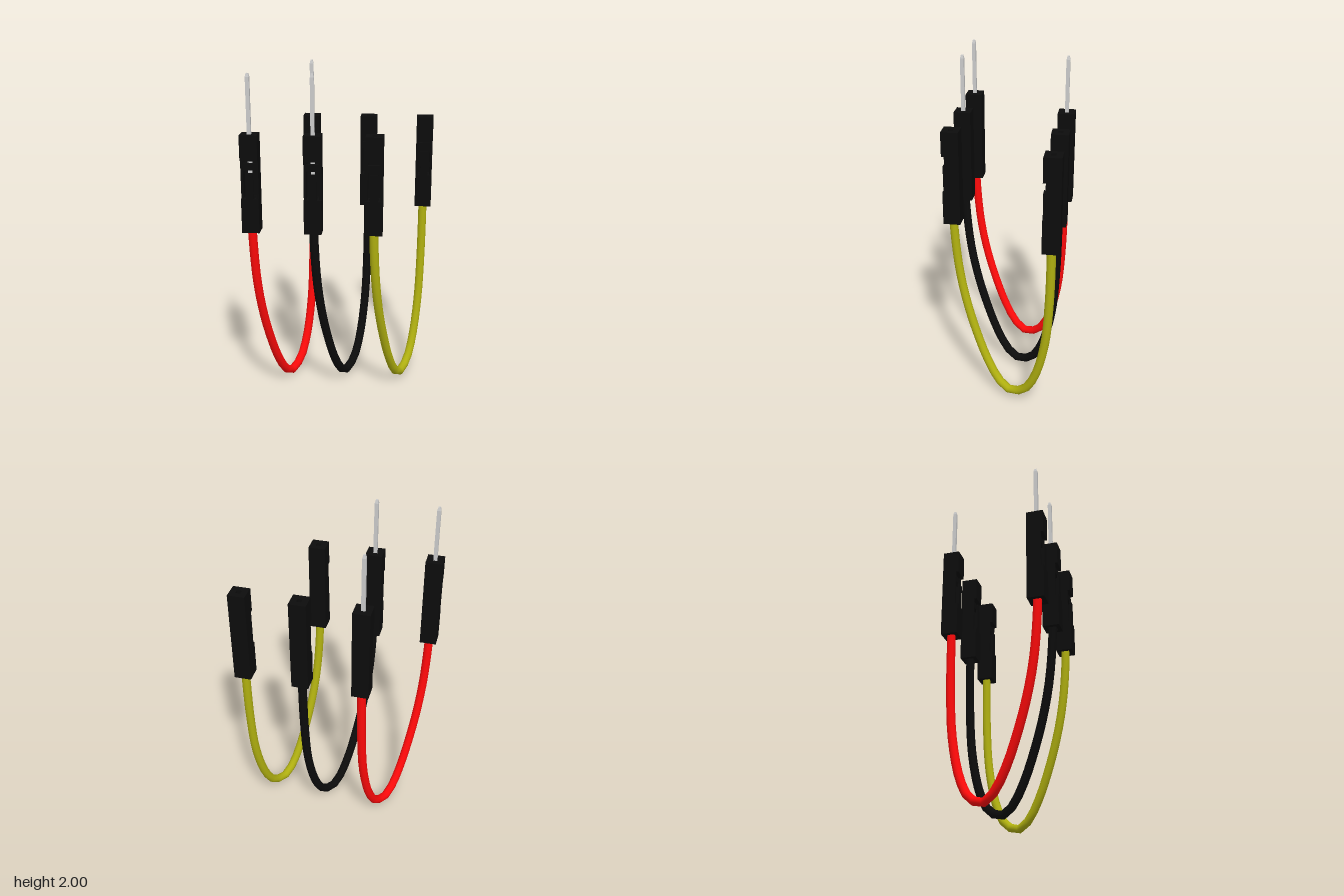
import * as THREE from 'three';

const mat = (color) => new THREE.MeshStandardMaterial({ color });
const black = mat(0x0c0c0c);
const metal = mat(0xcccccc);

const Y0 = 1.1, SLOT0 = 1.3, FLAP_TOP = 1.45, SLOT1 = 1.52, Y1 = 1.665, H = 0.05;

function add(parent, name, geometry, material) {
  const mesh = new THREE.Mesh(geometry, material);
  mesh.name = name;
  parent.add(mesh);
  return mesh;
}

function box(parent, name, x0, x1, y0, y1, z0, z1, material = black) {
  const g = new THREE.BoxGeometry(x1 - x0, y1 - y0, z1 - z0);
  g.translate((x0 + x1) / 2, (y0 + y1) / 2, (z0 + z1) / 2);
  return add(parent, name, g, material);
}

// Square block with a square hole running up through it
function sleeve(parent, name, y0, y1, hole) {
  const square = (C, r) => new C().setFromPoints(
    [[-r, -r], [r, -r], [r, r], [-r, r], [-r, -r]].map(([x, y]) => new THREE.Vector2(x, y)));
  const shape = square(THREE.Shape, H);
  shape.holes.push(square(THREE.Path, hole));
  const g = new THREE.ExtrudeGeometry(shape, { depth: y1 - y0, bevelEnabled: false });
  g.rotateX(-Math.PI / 2).translate(0, y0, 0);
  return add(parent, name, g, black);
}

function connector(name, x, z, hasPin) {
  const group = new THREE.Group();
  group.name = name;
  sleeve(group, 'housingBase', Y0, SLOT0, 0.026);
  sleeve(group, 'housingTop', SLOT1, Y1, 0.014);

  // Slotted middle: back and side walls, with open corners beside the latch flap
  box(group, 'backWall', -H, H, SLOT0, SLOT1, -H, -0.036);
  for (const s of [-1, 1]) {
    box(group, 'sideWall', s * 0.043 - 0.007, s * 0.043 + 0.007, SLOT0, SLOT1, -0.036, 0.034);
  }
  box(group, 'latchFlap', -0.022, 0.022, SLOT0, FLAP_TOP, 0.038, H);
  box(group, 'latchBar', -0.036, 0.036, 1.463, 1.503, 0.013, 0.033);

  // Square pin with a short tapered tip
  if (hasPin) {
    box(group, 'pin', -0.011, 0.011, 1.25, 1.98, -0.011, 0.011, metal);
    const tip = new THREE.CylinderGeometry(0.006 * Math.SQRT2, 0.011 * Math.SQRT2, 0.02, 4, 1).toNonIndexed();
    tip.rotateY(Math.PI / 4).translate(0, 1.99, 0);
    tip.computeVertexNormals();
    add(group, 'pinTip', tip, metal);
  }
  group.position.set(x, 0, z);
  return group;
}

// Sagging wire: fraction of the way from front to back connector, and height
const SAG = [[0, 1.28], [0, 1.1], [0.045, 0.8], [0.12, 0.58], [0.225, 0.38], [0.35, 0.2], [0.48, 0.08],
  [0.59, 0.045], [0.74, 0.09], [0.85, 0.21], [0.95, 0.46], [0.99, 0.76], [1, 1.1], [1, 1.28]];

function wire(x0, x1, z0, z1, drop, material) {
  const points = SAG.map(([t, y]) => new THREE.Vector3(
    x0 + (x1 - x0) * t, y - (y < 1 ? drop : 0), z0 + (z1 - z0) * t));
  const curve = new THREE.CatmullRomCurve3(points, false, 'centripetal');
  const group = new THREE.Group();
  add(group, 'wireSheath', new THREE.TubeGeometry(curve, 36, 0.026, 12), material);
  // Closed wire ends inside the housings
  for (const p of [points[0], points[points.length - 1]]) {
    const cap = new THREE.CircleGeometry(0.026, 12).rotateX(-Math.PI / 2).translate(p.x, p.y, p.z);
    add(group, 'wireEnd', cap, material);
  }
  return group;
}

export function createModel() {
  const model = new THREE.Group();
  model.name = 'jumperWires';
  const zFront = 0.303, zBack = -0.308;
  const cables = [
    { name: 'red', color: 0xff0a0a, x0: -0.493, x1: -0.209, pins: [true, true], drop: 0.018 },
    { name: 'black', color: 0x0c0c0c, x0: -0.138, x1: 0.145, pins: [true, false], drop: 0 },
    { name: 'yellow', color: 0xb0b010, x0: 0.207, x1: 0.491, pins: [false, false], drop: 0 },
  ];
  for (const c of cables) {
    const cable = new THREE.Group();
    cable.name = c.name + 'Cable';
    const w = wire(c.x0, c.x1, zFront, zBack, c.drop, mat(c.color));
    w.name = c.name + 'Wire';
    cable.add(w,
      connector('frontConnector', c.x0, zFront, c.pins[0]),
      connector('backConnector', c.x1, zBack, c.pins[1]));
    model.add(cable);
  }
  return model;
}
